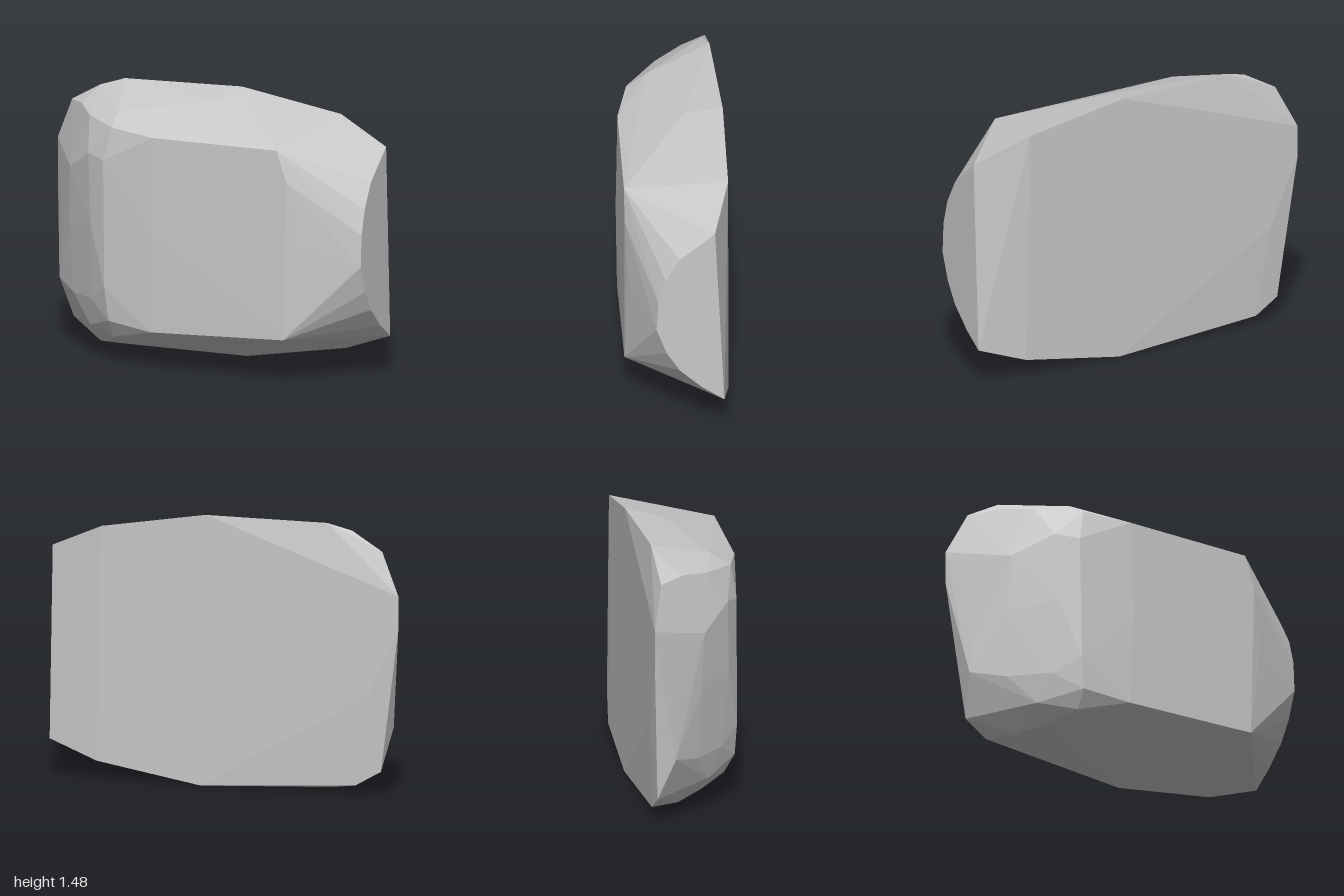
import * as THREE from 'three';
import { ConvexGeometry } from 'three/addons/geometries/ConvexGeometry.js';

// Corner points of the faceted boulder, grouped by region
const backFace = [
  [0.1, 1.48, -0.285], [0.69, 1.385, -0.285], [0.72, 0.1, -0.285],
  [0.13, 0, -0.285], [-0.83, 0.55, -0.285], [-1, 0.92, -0.285], [-1, 1.1, -0.285],
];
const cutSide = [
  [1, 1.25, -0.2], [1, 1.09, -0.01], [1, 0.96, 0.065], [1, 0.82, 0.105],
  [1, 0.65, 0.115], [1, 0.5, 0.06], [1, 0.39, -0.01], [1, 0.28, -0.13], [1, 0.2, -0.25],
];
const frontFace = [
  [0.57, 1.28, 0.27], [0.63, 1.11, 0.27], [0.61, 0.24, 0.27], [0.68, 0.75, 0.25],
  [-0.18, 0.21, 0.272], [-0.17, 1.28, 0.27], [-0.16, 0.72, 0.28],
  [-0.48, 1.12, 0.235], [-0.47, 0.42, 0.24], [-0.45, 0.24, 0.23],
];
const topEdge = [
  [-0.58, 1.47, -0.245], [-0.71, 1.43, -0.21], [-0.89, 1.33, -0.235],
  [0.05, 1.435, -0.085], [-0.5, 1.4, -0.03], [-0.45, 1.37, 0.1],
  [-0.44, 1.3, 0.21], [-0.65, 1.32, 0.05], [-0.77, 1.345, -0.1],
];
const roundedSide = [
  [-0.6, 1.14, 0.17], [-0.78, 1.02, 0.02], [-0.58, 0.75, 0.18], [-0.79, 0.7, 0],
  [-0.9, 0.75, -0.13], [-0.6, 0.33, 0.135], [-0.78, 0.32, -0.02], [-0.93, 0.36, -0.16],
];
const bottomEdge = [
  [-0.89, 0.13, -0.255], [-0.75, 0.05, -0.265], [-0.6, 0.02, -0.2],
  [-0.66, 0.045, -0.11], [-0.55, 0.08, 0.03], [-0.64, 0.17, 0.06], [-0.45, 0.14, 0.17],
];

export function createModel() {
  const stone = new THREE.MeshStandardMaterial({ color: 0xc8c8c8, flatShading: true });
  stone.name = 'stone grey';

  // Flat facets wrapped tightly around the corner points
  const points = [backFace, cutSide, frontFace, topEdge, roundedSide, bottomEdge]
    .flat().map((p) => new THREE.Vector3(...p));
  const boulder = new THREE.Mesh(new ConvexGeometry(points), stone);
  boulder.name = 'boulder';

  const group = new THREE.Group();
  group.name = 'rock';
  group.add(boulder);
  return group;
}
